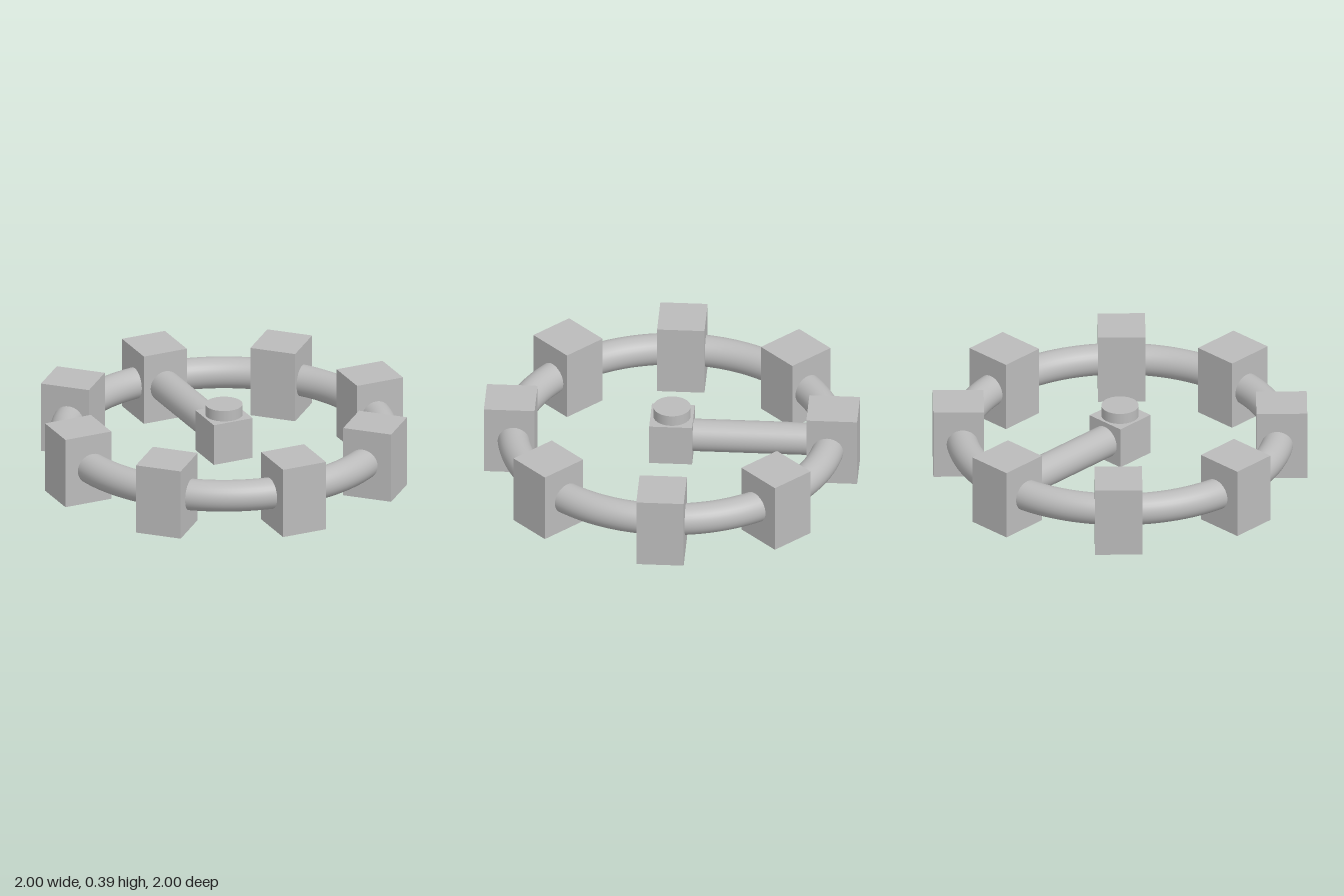
import * as THREE from 'three';

export function createModel() {
  const model = new THREE.Group();
  const grey = new THREE.MeshStandardMaterial({ color: 0xbbbbbb });
  grey.name = 'plain grey';
  const midY = 0.195;

  const add = (parent, name, geometry, x, y, z) => {
    const mesh = new THREE.Mesh(geometry, grey);
    mesh.name = name;
    mesh.position.set(x, y, z);
    parent.add(mesh);
    return mesh;
  };

  // Outer ring lying flat
  const ring = add(model, 'ring', new THREE.TorusGeometry(0.85, 0.085, 32, 128), 0, midY, 0);
  ring.rotation.x = Math.PI / 2;

  // Eight blocks threaded on the ring; the diagonal ones sit slightly further round
  const blocks = new THREE.Group();
  blocks.name = 'ringBlocks';
  model.add(blocks);
  const blockShape = new THREE.BoxGeometry(0.272, 0.39, 0.254);
  for (let i = 0; i < 8; i++) {
    const turn = i * Math.PI / 4;
    const place = turn + (i % 2 ? 0.022 : 0);
    const block = add(blocks, 'ringBlock', blockShape,
      0.864 * Math.cos(place), midY, 0.864 * Math.sin(place));
    block.rotation.y = -turn;
  }

  // Single spoke from the hub to the back block
  const spoke = add(model, 'spoke', new THREE.CylinderGeometry(0.087, 0.087, 0.78, 32), 0, midY, -0.46);
  spoke.rotation.x = Math.PI / 2;

  // Central hub with a round knob on top
  const hub = new THREE.Group();
  hub.name = 'hub';
  model.add(hub);
  add(hub, 'hubBlock', new THREE.BoxGeometry(0.23, 0.23, 0.23), 0, midY, 0);
  add(hub, 'hubKnob', new THREE.CylinderGeometry(0.1, 0.1, 0.08, 48), 0, 0.33, 0);

  return model;
}
